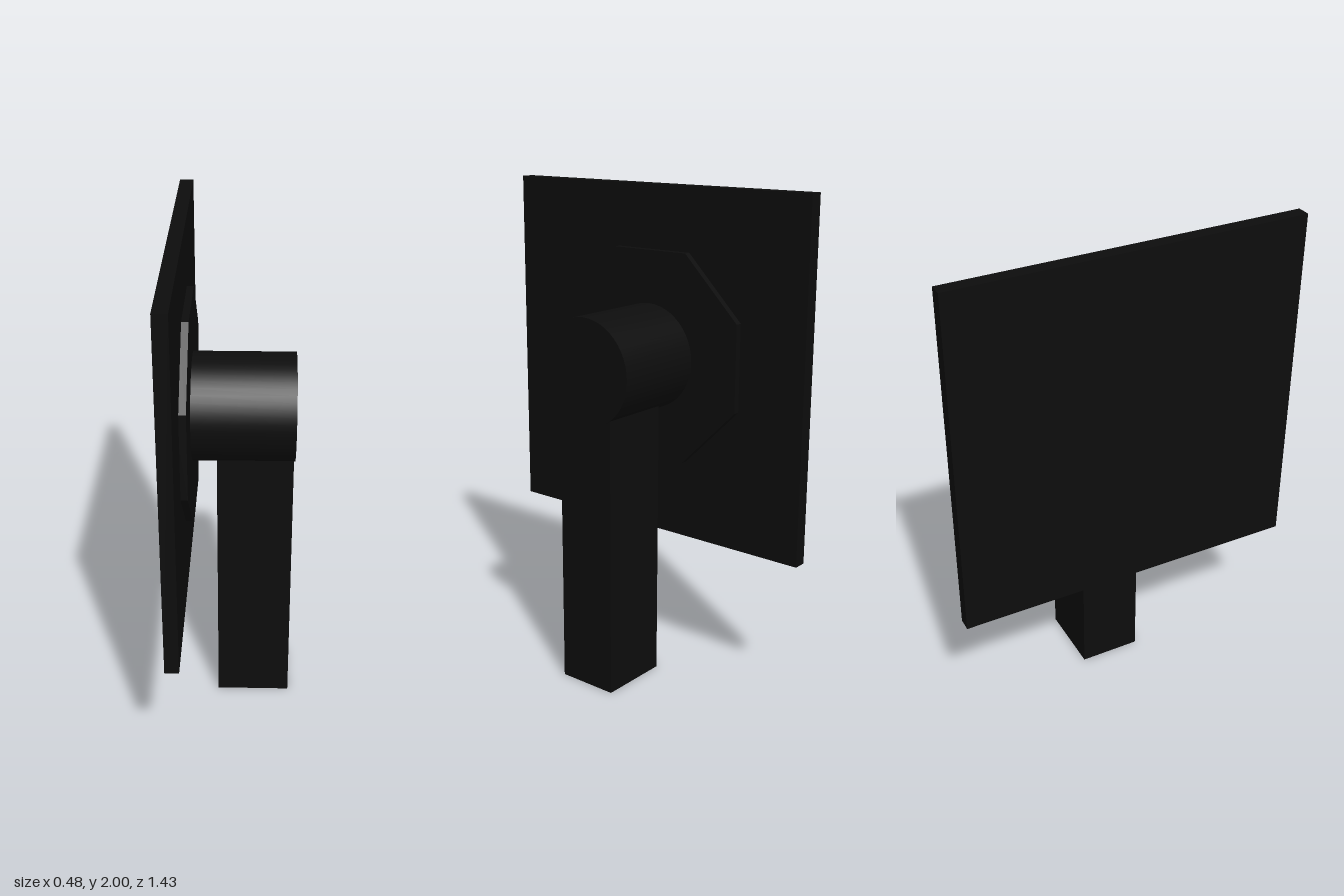
import * as THREE from 'three';

export function createModel() {
  const group = new THREE.Group();
  const black = new THREE.MeshStandardMaterial({ color: 0x0d0d0d });
  black.name = 'matte black';
  const axisY = 1.32; // height of the lever's turning axis

  function add(name, geometry, x, y) {
    const mesh = new THREE.Mesh(geometry, black);
    mesh.name = name;
    mesh.position.set(x, y, 0);
    group.add(mesh);
  }

  // Square wall plate
  add('wallPlate', new THREE.BoxGeometry(0.055, 1.43, 1.43), -0.2145, 1.285);

  // Thin octagonal collar with flats facing up, down and sideways
  const collar = new THREE.CylinderGeometry(0.46, 0.46, 0.04, 8).toNonIndexed();
  collar.computeVertexNormals();
  collar.rotateY(Math.PI / 8).rotateZ(-Math.PI / 2);
  add('octagonalCollar', collar, -0.18, axisY);

  // Round hub
  const hub = new THREE.CylinderGeometry(0.214, 0.214, 0.42, 48).rotateZ(-Math.PI / 2);
  add('hub', hub, 0.03, axisY - 0.002);

  // Lever hanging from the hub
  add('lever', new THREE.BoxGeometry(0.3, 1.2, 0.254), 0.085, 0.6);

  return group;
}
